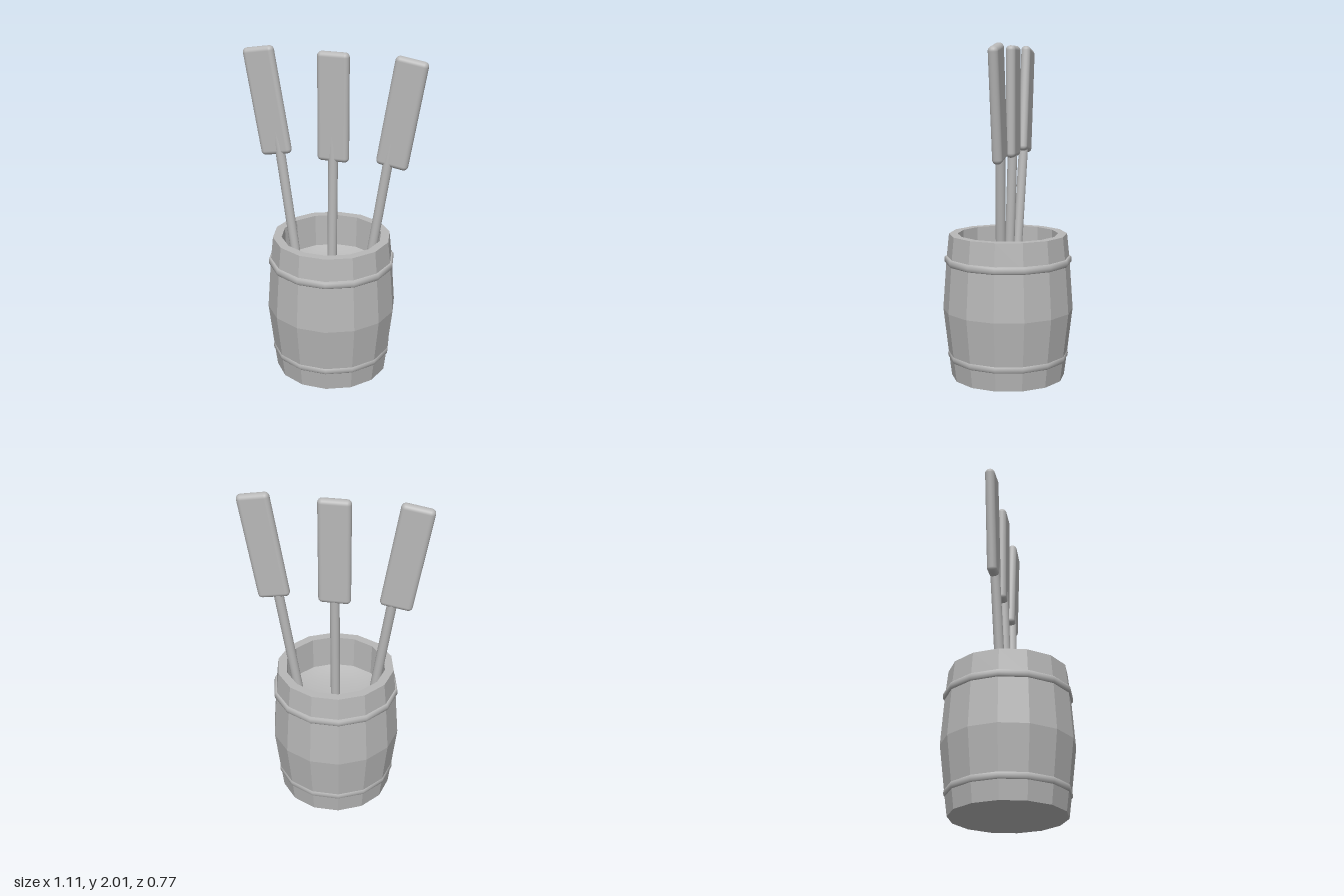
import * as THREE from 'three';
import { RoundedBoxGeometry } from 'three/addons/geometries/RoundedBoxGeometry.js';

const SIDES = 14;

export function createModel() {
  const model = new THREE.Group();
  const grey = new THREE.MeshStandardMaterial({ color: 0xb8b8b8 });
  grey.name = 'plain grey';

  const add = (name, geometry, parent = model) => {
    const mesh = new THREE.Mesh(geometry, grey);
    mesh.name = name;
    parent.add(mesh);
    return mesh;
  };
  // Fourteen-sided turned shape with a corner on the x axis
  const turned = (points, flat) => {
    const g = new THREE.LatheGeometry(points.map(p => new THREE.Vector2(...p)), SIDES, Math.PI / 2);
    if (!flat) return g;
    const faceted = g.toNonIndexed();
    faceted.computeVertexNormals();
    return faceted;
  };

  // Faceted staves, rim and inner wall
  add('barrel', turned([
    [0, 0], [0.345, 0], [0.362, 0.135], [0.395, 0.42],
    [0.373, 0.725], [0.357, 0.88], [0.304, 0.88], [0.295, 0.66],
  ], true));

  // Shallow dished floor inside the barrel
  add('innerFloor', turned([
    [0.297, 0.68], [0.25, 0.659], [0.19, 0.641], [0.1, 0.625], [0, 0.62],
  ], false));

  // Rounded hoops
  for (const [name, r, y] of [['lowerHoop', 0.368, 0.135], ['upperHoop', 0.386, 0.722]]) {
    add(name, turned([
      [r - 0.04, y - 0.022], [r - 0.009, y - 0.022], [r - 0.002, y - 0.015], [r, y],
      [r - 0.002, y + 0.015], [r - 0.009, y + 0.022], [r - 0.04, y + 0.022],
    ], false));
  }

  // Three paddles: the outer two fan outward
  for (const [name, s] of [['rightPaddle', -1], ['middlePaddle', 0], ['leftPaddle', 1]]) {
    const paddle = new THREE.Group();
    paddle.name = name;
    model.add(paddle);

    const blade = add('blade', new RoundedBoxGeometry(0.192, 0.655, 0.058, 4, 0.027), paddle);
    blade.position.set(s * 0.41, 1.671, -0.031);
    blade.rotation.z = -s * THREE.MathUtils.degToRad(9.5);

    // Handle leans slightly back into the blade
    const foot = new THREE.Vector3(s * 0.228, 0.65, -0.006);
    const tip = new THREE.Vector3(s * 0.355, 1.5, -0.031);
    const axis = tip.clone().sub(foot);
    const handle = add('handle', new THREE.CylinderGeometry(0.029, 0.029, axis.length(), 16), paddle);
    handle.position.copy(foot).add(tip).multiplyScalar(0.5);
    handle.quaternion.setFromUnitVectors(new THREE.Vector3(0, 1, 0), axis.normalize());
  }

  return model;
}
